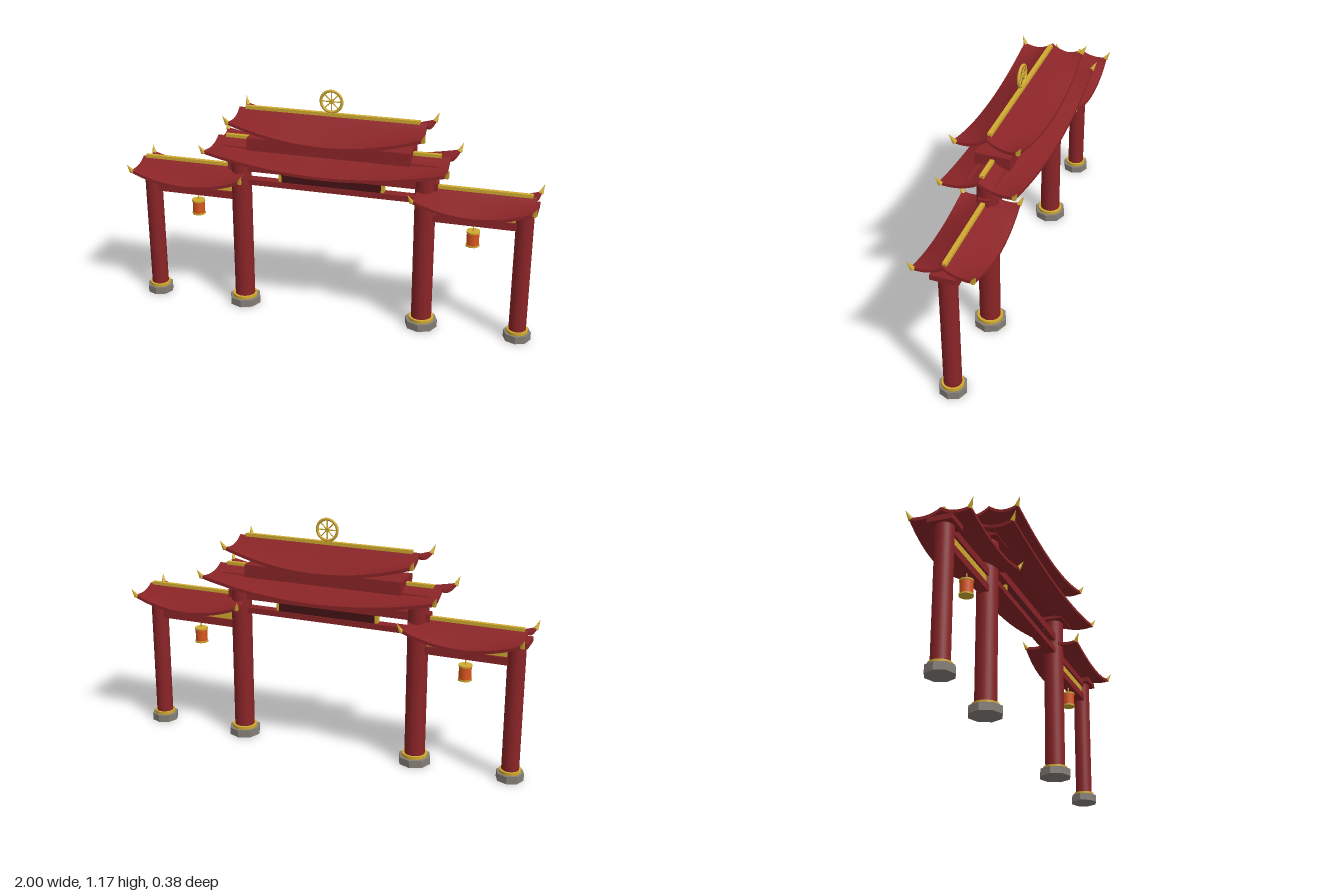
import * as THREE from 'three';
import { toCreasedNormals } from 'three/addons/utils/BufferGeometryUtils.js';

const mat = (name, color) => Object.assign(new THREE.MeshStandardMaterial({ color }), { name });

export function createModel() {
  const red = mat('red lacquer', 0x8a2427);
  const gold = mat('gold', 0xd0aa30);
  const stone = mat('stone', 0x857e78);
  const dark = mat('dark panel', 0x431215);
  const orange = mat('lantern orange', 0xd9561e);
  const model = new THREE.Group();
  model.name = 'gateway';

  const add = (parent, name, geo, material, x = 0, y = 0, z = 0) => {
    const m = new THREE.Mesh(geo, material);
    m.name = name;
    m.position.set(x, y, z);
    parent.add(m);
    return m;
  };
  // Box given by its bottom and top heights
  const box = (parent, name, material, w, y0, y1, d, x = 0, z = 0) =>
    add(parent, name, new THREE.BoxGeometry(w, y1 - y0, d), material, x, (y0 + y1) / 2, z);
  const cyl = (parent, name, material, r, y0, y1, x, sides = 28, rBottom = r) =>
    add(parent, name, new THREE.CylinderGeometry(r, rBottom, y1 - y0, sides), material, x, (y0 + y1) / 2);

  // Point on a swept roof: t runs along the ridge, v across it, both -1..1
  const roofPoint = (r, t, v) => {
    const u = Math.abs(v);
    return [
      t * r.half * (1 - 0.03 * (1 - u * u)),
      r.ridge - r.drop * Math.pow(u, 0.92) + r.lift * t * t * u * u,
      v * r.depth * (1 - 0.07 * t * t),
    ];
  };

  const roofGeometry = (r) => {
    const NX = 24, NV = 16, K = 2 * (NV + 1), pos = [], idx = [];
    for (let j = 0; j <= NX; j++) {
      const t = (2 * j) / NX - 1;
      for (let k = 0; k < K; k++) {
        const under = k > NV;
        const p = roofPoint(r, t, (2 * (under ? K - 1 - k : k)) / NV - 1);
        pos.push(p[0], p[1] - (under ? 0.015 : 0), p[2]);
      }
    }
    for (let j = 0; j < NX; j++) for (let k = 0; k < K; k++) {
      const a = j * K + k, b = j * K + ((k + 1) % K), c = a + K, d = b + K;
      idx.push(a, b, c, b, d, c);
    }
    const e = NX * K;
    for (let k = 0; k < NV; k++) {
      const q = k + 1, s = K - 1 - k, m = K - 2 - k;
      idx.push(e + k, e + q, e + m, e + k, e + m, e + s, k, m, q, k, s, m);
    }
    const g = new THREE.BufferGeometry();
    g.setAttribute('position', new THREE.Float32BufferAttribute(pos, 3));
    g.setIndex(idx);
    return toCreasedNormals(g, 0.5);
  };

  // Roof with a gold ridge bar and four corner horns
  const addRoof = (name, x, r) => {
    const g = new THREE.Group();
    g.name = name;
    g.position.x = x;
    model.add(g);
    add(g, 'roofShell', roofGeometry(r), red);
    box(g, 'ridgeBar', gold, 2 * r.bar, r.ridge - 0.006, r.ridge + 0.01, 0.02);
    for (const sx of [-1, 1]) for (const sz of [-1, 1]) {
      const dir = new THREE.Vector3(0.35 * sx, 1, 0.5 * sz).normalize();
      const horn = add(g, 'cornerHorn', new THREE.ConeGeometry(0.012, 0.05, 8), gold);
      horn.position.set(...roofPoint(r, sx, sz)).addScaledVector(dir, 0.012);
      horn.quaternion.setFromUnitVectors(new THREE.Vector3(0, 1, 0), dir);
    }
  };
  addRoof('topRoof', 0, { half: 0.472, depth: 0.162, ridge: 1.05, drop: 0.106, lift: 0.08, bar: 0.425 });
  addRoof('middleRoof', 0, { half: 0.59, depth: 0.188, ridge: 0.897, drop: 0.092, lift: 0.07, bar: 0.53 });

  for (const s of [-1, 1]) {
    addRoof('sideRoof', 0.703 * s, { half: 0.285, depth: 0.15, ridge: 0.745, drop: 0.08, lift: 0.055, bar: 0.26 });

    // Columns: x, radius, top height, base radius, capital width
    for (const [x, r, top, base, cap] of [[0.933, 0.042, 0.675, 0.067, 0.116], [0.46, 0.05, 0.845, 0.08, 0.14]]) {
      const g = new THREE.Group();
      g.name = r > 0.045 ? 'innerColumn' : 'outerColumn';
      g.position.x = x * s;
      model.add(g);
      const foot = new THREE.CylinderGeometry(base, base, 0.037, 8);
      add(g, 'stoneBase', toCreasedNormals(foot, 0.3), stone, 0, 0.0185);
      cyl(g, 'baseRing', gold, base * 0.78, 0.037, 0.052, 0);
      cyl(g, 'shaft', red, r, 0.04, top, 0);
      box(g, 'capital', red, cap, top, top + 0.025, cap);
    }

    // Side bay beams and gold panel
    box(model, 'sideLowerBeam', red, 0.42, 0.573, 0.61, 0.05, 0.695 * s);
    box(model, 'sidePanel', gold, 0.39, 0.61, 0.655, 0.03, 0.695 * s);
    box(model, 'sideUpperBeam', red, 0.42, 0.655, 0.69, 0.05, 0.695 * s);

    // Hanging lantern
    const l = new THREE.Group();
    l.name = 'lantern';
    l.position.x = 0.695 * s;
    model.add(l);
    cyl(l, 'cord', gold, 0.003, 0.535, 0.575, 0, 6);
    cyl(l, 'lanternBody', orange, 0.03, 0.47, 0.533, 0, 16);
    cyl(l, 'lanternTop', gold, 0.033, 0.532, 0.54, 0, 16);
    cyl(l, 'lanternBottom', gold, 0.033, 0.464, 0.472, 0, 16);
  }

  // Central beams, name board frame and upper storey
  box(model, 'mainUpperBeam', red, 1.04, 0.73, 0.77, 0.052);
  box(model, 'mainLowerBeam', red, 0.9, 0.66, 0.688, 0.05);
  box(model, 'boardFrame', gold, 0.525, 0.685, 0.733, 0.03);
  for (const s of [-1, 1]) box(model, 'boardFace', dark, 0.495, 0.687, 0.731, 0.006, 0, 0.017 * s);
  box(model, 'upperStorey', red, 0.795, 0.862, 0.925, 0.168);

  // Spoked wheel on the ridge
  const wheel = new THREE.Group();
  wheel.name = 'wheel';
  wheel.position.y = 1.115;
  model.add(wheel);
  add(wheel, 'wheelRim', new THREE.TorusGeometry(0.051, 0.007, 10, 40), gold);
  const hub = add(wheel, 'wheelHub', new THREE.CylinderGeometry(0.011, 0.011, 0.012, 16), gold);
  hub.rotation.x = Math.PI / 2;
  for (let i = 0; i < 4; i++) {
    const spoke = add(wheel, 'wheelSpoke', new THREE.CylinderGeometry(0.003, 0.003, 0.1, 6), gold);
    spoke.rotation.z = (i * Math.PI) / 4;
  }
  return model;
}
